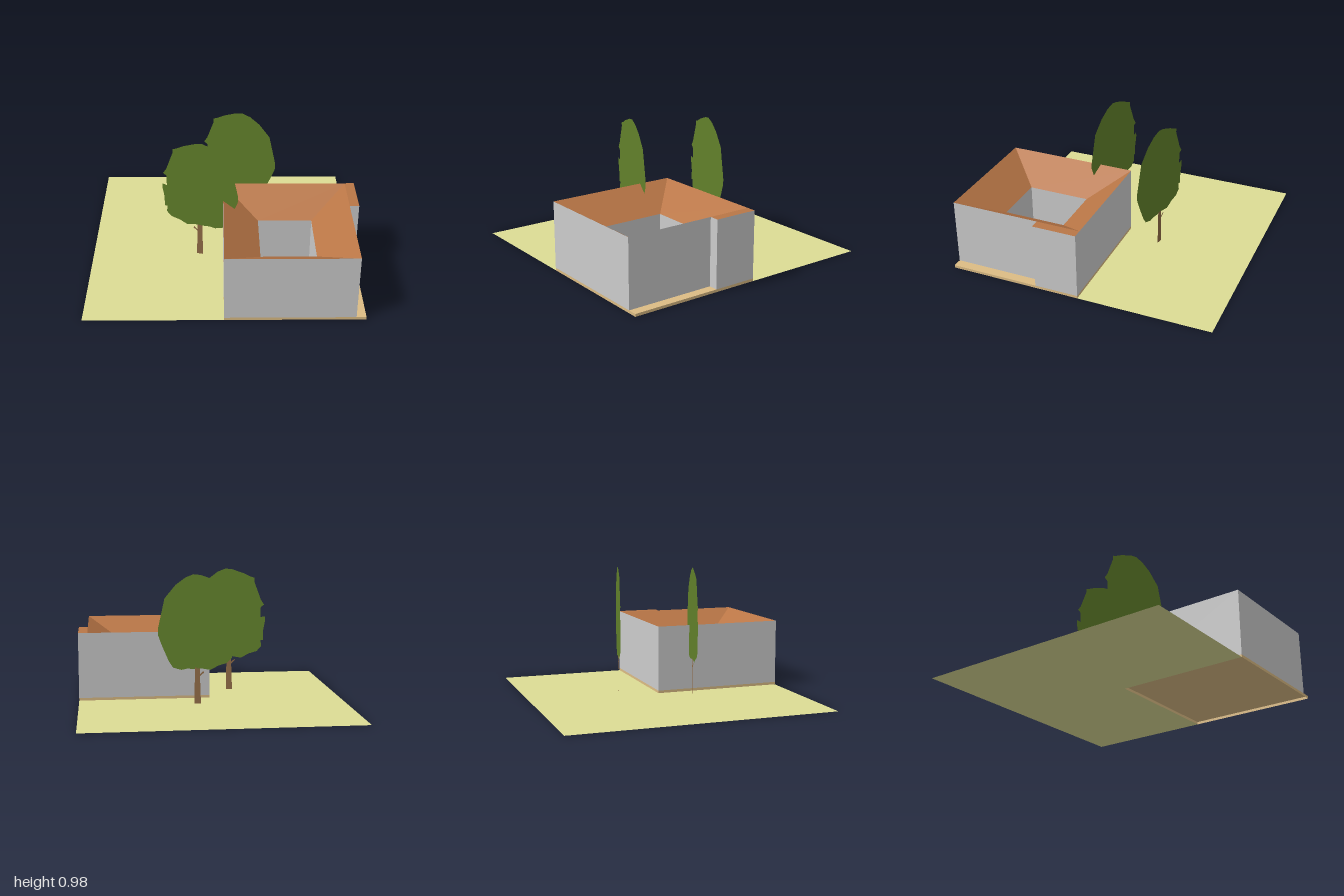
import * as THREE from 'three';

const mat = (color) => new THREE.MeshStandardMaterial({ color, side: THREE.DoubleSide, flatShading: true });
const WALL = mat(0xcccccc), ROOF = mat(0xb97646), TAN = mat(0xdcbc84);
const GRASS = mat(0xdcdc94), LEAF = mat(0x61802a), BARK = mat(0x8f6a45);

const FLOOR = 0.02, EAVE = 0.35, TOP = 0.52;

// Plan outlines as [x, z], running round in one direction seen from above
const plot = [[0, 0], [0, 1], [1, 1], [1, 0]];
const house = [[0, 0], [0, 1], [0.93, 1], [0.93, 0.33], [1, 0.33], [1, 0]];
const roofEdge = [[0, 0], [0, 1], [0.93, 1], [0.93, 0]];
const court = [[0.26, 0.26], [0.26, 0.73], [0.66, 0.73], [0.66, 0.26]];
const lawn = [[-1, -1], [-1, 1], [0, 1], [0, 0], [1, 0], [1, -1]];

// Closed band of flat quads from a lower outline to an upper one
function band(name, low, y0, high, y1, material) {
  const pos = [];
  low.forEach((a, i) => {
    const j = (i + 1) % low.length;
    const p = [a[0], y0, a[1]], q = [low[j][0], y0, low[j][1]];
    const r = [high[j][0], y1, high[j][1]], s = [high[i][0], y1, high[i][1]];
    pos.push(...p, ...q, ...r, ...p, ...r, ...s);
  });
  const geo = new THREE.BufferGeometry();
  geo.setAttribute('position', new THREE.Float32BufferAttribute(pos, 3));
  geo.computeVertexNormals();
  return named(name, geo, material);
}

// Horizontal sheet facing up
function sheet(name, outline, y, material) {
  const shape = new THREE.Shape(outline.map(([x, z]) => new THREE.Vector2(x, -z)));
  const geo = new THREE.ShapeGeometry(shape).rotateX(-Math.PI / 2).translate(0, y, 0);
  return named(name, geo, material);
}

function named(name, geo, material) {
  const mesh = new THREE.Mesh(geo, material);
  mesh.name = name;
  return mesh;
}

// Flat cut-out tree; x runs from the trunk, and z shears along with x
const crown = [
  [0.02, 0.28], [0.08, 0.28], [0.12, 0.27], [0.18, 0.285], [0.21, 0.33], [0.24, 0.40], [0.265, 0.46],
  [0.29, 0.53], [0.29, 0.57], [0.24, 0.80], [0.16, 0.90], [0.09, 0.955], [0.03, 0.98], [-0.02, 0.975],
  [-0.11, 0.945], [-0.16, 0.92], [-0.19, 0.91], [-0.19, 0.88], [-0.24, 0.74], [-0.265, 0.70],
  [-0.24, 0.68], [-0.24, 0.60], [-0.27, 0.61], [-0.275, 0.58], [-0.26, 0.50], [-0.26, 0.42],
  [-0.24, 0.42], [-0.245, 0.37], [-0.21, 0.33], [-0.15, 0.31], [-0.09, 0.275], [-0.02, 0.285],
];
const trunk = [
  [-0.022, 0.02], [0.025, 0.02], [0.022, 0.29], [-0.015, 0.29], [-0.015, 0.24],
  [-0.04, 0.265], [-0.045, 0.255], [-0.015, 0.225],
];

function cutout(name, outline, material) {
  const shape = new THREE.Shape(outline.map(([x, y]) => new THREE.Vector2(x, y)));
  const geo = new THREE.ShapeGeometry(shape);
  const p = geo.attributes.position;
  for (let i = 0; i < p.count; i++) p.setZ(i, p.getX(i) * 0.245);
  geo.computeVertexNormals();
  return named(name, geo, material);
}

function tree(x, z) {
  const g = new THREE.Group();
  g.name = 'tree';
  g.add(cutout('crown', crown, LEAF), cutout('trunk', trunk, BARK));
  g.position.set(x, 0, z);
  return g;
}

export function createModel() {
  const model = new THREE.Group();
  model.name = 'courtyardHouse';

  // Lawn around the house plot
  model.add(sheet('lawn', lawn, 0, GRASS));

  // Low plinth, open underneath
  model.add(band('plinthSides', plot, 0, plot, FLOOR, TAN));
  model.add(sheet('plinthFloor', plot, FLOOR, TAN));

  // Outer walls with the stepped side, and walls round the court
  model.add(band('outerWalls', house, FLOOR, house, TOP, WALL));
  model.add(band('courtWalls', court, FLOOR, court, EAVE, WALL));

  // Roof falling inward to the court, and the strip over the step
  model.add(band('roof', roofEdge, TOP, court, EAVE, ROOF));
  model.add(sheet('roofStrip', [[0.93, 0], [0.93, 0.33], [1, 0.33], [1, 0]], TOP, ROOF));

  // Two trees beside and behind the house
  model.add(tree(-0.18, 0.21), tree(0.12, -0.285));
  return model;
}
